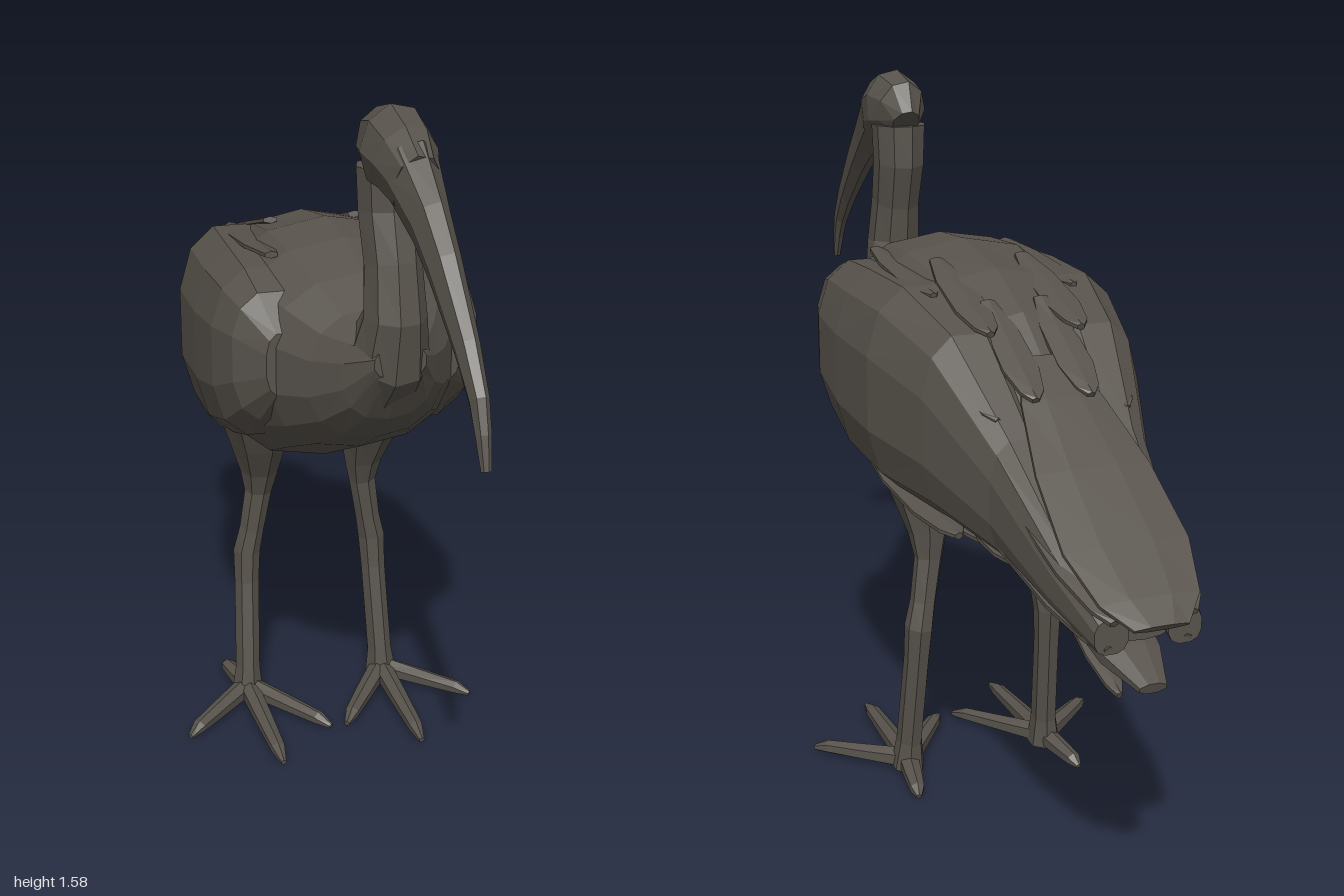
import * as THREE from 'three';

const plumage = new THREE.MeshStandardMaterial({ color: 0x57524b, flatShading: true });
plumage.name = 'dark plumage';

// Loft elliptical rings through sections [x, y, z, halfWidth, halfHeight].
// A fixed axis keeps the rings parallel; power below 1 makes them boxier.
function loft(name, sections, sides = 8, { axis = null, power = 1 } = {}) {
  const centres = sections.map(s => new THREE.Vector3(s[0], s[1], s[2]));
  const pos = [], index = [], last = sections.length - 1;
  const bend = v => Math.sign(v) * Math.pow(Math.abs(v), power);
  sections.forEach((s, i) => {
    const t = axis ? axis.clone()
      : centres[Math.min(i + 1, last)].clone().sub(centres[Math.max(i - 1, 0)]).normalize();
    const side = new THREE.Vector3(1, 0, 0).addScaledVector(t, -t.x).normalize();
    const up = t.clone().cross(side);
    for (let j = 0; j < sides; j++) {
      const a = (j + 0.5) / sides * Math.PI * 2;
      const p = centres[i].clone()
        .addScaledVector(side, bend(Math.cos(a)) * s[3])
        .addScaledVector(up, bend(Math.sin(a)) * s[4]);
      pos.push(p.x, p.y, p.z);
    }
  });
  const start = pos.length / 3;
  pos.push(...centres[0].toArray(), ...centres[last].toArray());
  for (let j = 0; j < sides; j++) {
    const k = (j + 1) % sides;
    for (let i = 0; i < last; i++) {
      const a = i * sides + j, b = i * sides + k;
      index.push(a, b, a + sides, b, b + sides, a + sides);
    }
    index.push(start, k, j, start + 1, last * sides + j, last * sides + k);
  }
  const g = new THREE.BufferGeometry();
  g.setAttribute('position', new THREE.Float32BufferAttribute(pos, 3));
  g.setIndex(index);
  g.computeVertexNormals();
  const mesh = new THREE.Mesh(g, plumage);
  mesh.name = name;
  return mesh;
}

// Thin pointed feather between two points
function feather(name, from, to, width) {
  const profile = [[0, 0.4], [0.3, 0.9], [0.7, 1], [0.92, 0.65], [1, 0.2]];
  return loft(name, profile.map(([t, w]) => [
    ...from.map((v, i) => v + (to[i] - v) * t), width * w, 0.008]), 6);
}

export function createModel() {
  const bird = new THREE.Group();
  bird.name = 'wadingBird';
  const forward = new THREE.Vector3(0, 0, 1);

  // Body: z, top, bottom, half width
  const body = [
    [-0.93, 0.755, 0.67, 0.07], [-0.7, 0.91, 0.69, 0.11], [-0.5, 1.055, 0.685, 0.165],
    [-0.35, 1.165, 0.67, 0.21], [-0.2, 1.23, 0.66, 0.245], [0, 1.262, 0.69, 0.27],
    [0.15, 1.252, 0.76, 0.26], [0.28, 1.21, 0.82, 0.21], [0.38, 1.165, 0.88, 0.15],
    [0.46, 1.15, 0.95, 0.1], [0.53, 1.13, 1.06, 0.055],
  ].map(([z, top, bottom, w]) => [0, (top + bottom) / 2, z, w, (top - bottom) / 2]);
  bird.add(loft('body', body, 14, { axis: forward, power: 0.85 }));

  // Neck, head and down-curved bill
  bird.add(loft('neck', [
    [0, 1.03, 0.39, 0.1, 0.1], [0, 1.1, 0.462, 0.08, 0.096], [0, 1.18, 0.487, 0.064, 0.075],
    [0, 1.28, 0.468, 0.058, 0.07], [0, 1.38, 0.438, 0.062, 0.07], [0, 1.47, 0.437, 0.066, 0.07],
  ], 9));
  bird.add(loft('head', [
    [0, 1.475, 0.385, 0.035, 0.045], [0, 1.505, 0.415, 0.06, 0.075], [0, 1.508, 0.475, 0.072, 0.09],
    [0, 1.495, 0.54, 0.064, 0.08], [0, 1.465, 0.6, 0.047, 0.07],
  ], 9));
  bird.add(loft('bill', [
    [0, 1.485, 0.56, 0.055, 0.076], [0, 1.412, 0.68, 0.037, 0.06], [0, 1.35, 0.76, 0.031, 0.05],
    [0, 1.24, 0.88, 0.023, 0.035], [0, 1.165, 0.945, 0.018, 0.026],
    [0, 1.11, 0.97, 0.015, 0.017], [0, 1.05, 0.99, 0.01, 0.008],
  ], 7));

  // Rounded fan lying over the rump, and the lower tail beneath it
  bird.add(loft('tailFan', [
    [0, 1.09, -0.45, 0.05, 0.01], [0, 1.028, -0.55, 0.095, 0.01], [0, 0.928, -0.7, 0.13, 0.01],
    [0, 0.825, -0.85, 0.14, 0.01], [0, 0.757, -0.95, 0.11, 0.01], [0, 0.722, -1, 0.06, 0.008],
  ], 8));
  bird.add(loft('lowerTail', [
    [0, 0.72, -0.48, 0.1, 0.035], [0, 0.685, -0.7, 0.085, 0.03],
    [0, 0.62, -0.88, 0.065, 0.028], [0, 0.592, -0.975, 0.03, 0.012],
  ], 8));

  for (const s of [1, -1]) {
    const tag = s > 0 ? 'left' : 'right';
    const m = p => [p[0] * s, ...p.slice(1)];

    // Folded wing
    bird.add(loft(tag + 'Wing', [
      [0.075, 0.695, -0.95, 0.035, 0.035], [0.095, 0.755, -0.8, 0.045, 0.075],
      [0.11, 0.85, -0.6, 0.065, 0.125], [0.14, 0.945, -0.4, 0.105, 0.2],
      [0.165, 0.978, -0.2, 0.132, 0.232], [0.175, 0.988, 0, 0.13, 0.224],
      [0.18, 1.01, 0.15, 0.12, 0.195], [0.185, 1.03, 0.24, 0.09, 0.145],
      [0.18, 1.03, 0.3, 0.035, 0.07],
    ].map(m), 12, { axis: forward, power: 0.78 }));

    // Feathers: from, to, width
    [
      ['ScapularFeather', [0.16, 1.222, 0.14], [0.16, 1.19, -0.25], 0.04],
      ['ScapularFeather', [0.1, 1.235, -0.1], [0.1, 1.14, -0.42], 0.045],
      ['ScapularFeather', [0.06, 1.18, -0.3], [0.06, 1.035, -0.56], 0.045],
      ['WingFeather', [0.19, 1.12, -0.22], [0.14, 1.0, -0.56], 0.035],
      ['PrimaryFeather', [0.13, 0.92, -0.52], [0.08, 0.73, -0.97], 0.05],
      ['PrimaryFeather', [0.14, 0.8, -0.45], [0.08, 0.67, -0.95], 0.05],
      ['WingEdgeFeather', [0.22, 0.78, -0.02], [0.18, 0.73, -0.45], 0.05],
      ['TailFeather', [0.03, 0.69, -0.58], [0.04, 0.56, -0.92], 0.03],
      ['VentFeather', [0.07, 0.68, -0.12], [0.06, 0.665, -0.36], 0.05],
      ['VentFeather', [0.08, 0.69, -0.3], [0.06, 0.67, -0.5], 0.04],
    ].forEach(([name, a, b, w]) => bird.add(feather(tag + name, m(a), m(b), w)));

    // Thigh and shank
    bird.add(loft(tag + 'Leg', [
      [0.15, 0.8, -0.08, 0.085, 0.1], [0.135, 0.71, -0.1, 0.07, 0.076],
      [0.13, 0.62, -0.12, 0.046, 0.044], [0.132, 0.56, -0.128, 0.033, 0.029],
      [0.148, 0.46, -0.135, 0.03, 0.031], [0.16, 0.4, -0.14, 0.033, 0.037],
      [0.163, 0.32, -0.132, 0.03, 0.033], [0.172, 0.1, -0.1, 0.03, 0.036],
      [0.175, 0.03, -0.095, 0.04, 0.042],
    ].map(m), 7));

    // Three front toes and a hind toe
    [[0.17, 0.24], [0.355, 0.07], [0.02, 0.12], [0.2, -0.245]].forEach(([x, z]) => {
      const at = (t, y, w, h) => m([0.175 + (x - 0.175) * t, y, -0.095 + (z + 0.095) * t, w, h]);
      bird.add(loft(tag + 'Toe', [
        at(0, 0.047, 0.026, 0.026), at(0.45, 0.042, 0.023, 0.02),
        at(0.85, 0.037, 0.018, 0.016), at(1, 0.028, 0.007, 0.007),
      ], 6));
    });
  }
  return bird;
}
